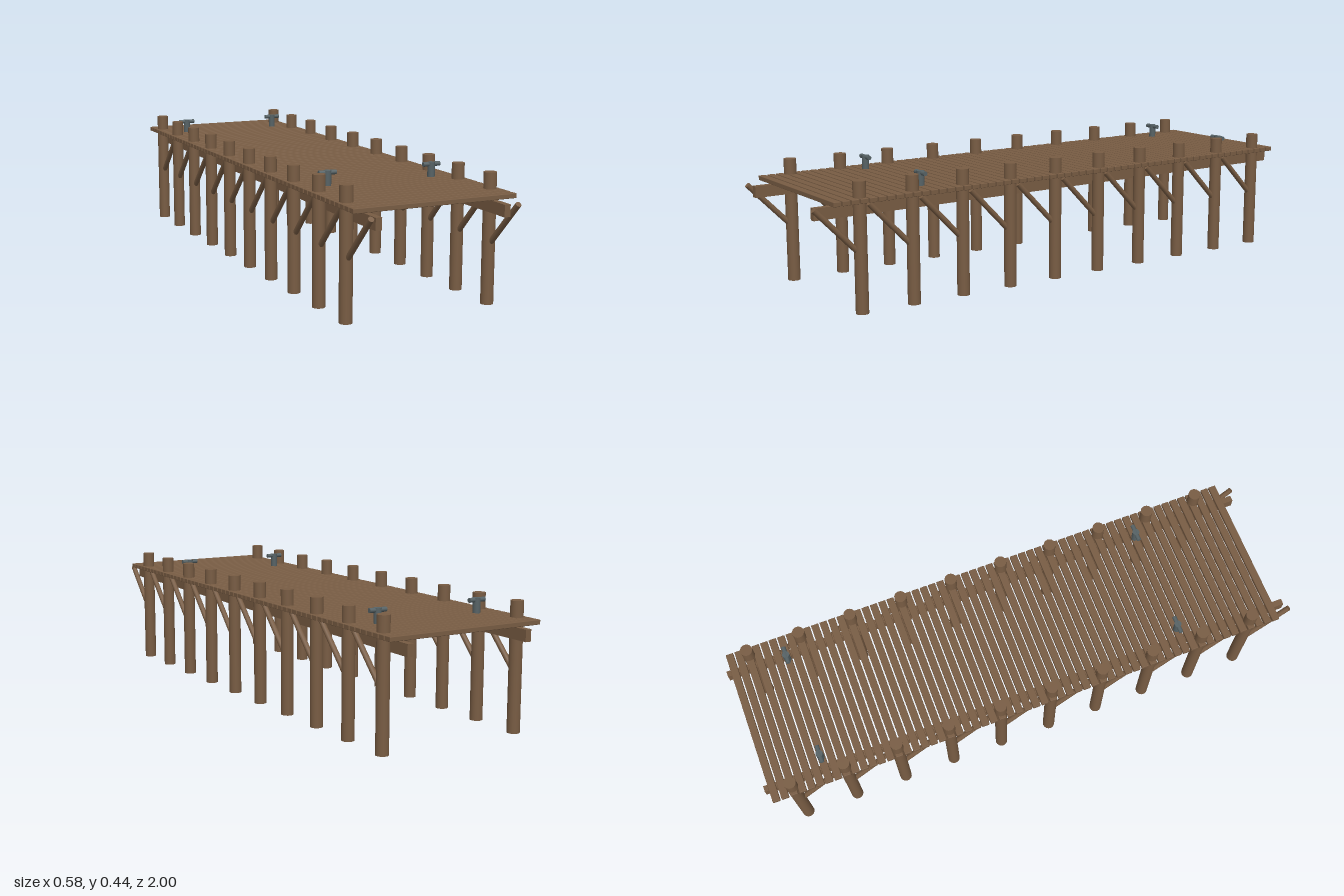
import * as THREE from 'three';
import { RoundedBoxGeometry } from 'three/addons/geometries/RoundedBoxGeometry.js';

const wood = new THREE.MeshStandardMaterial({ color: 0x785c43 });
wood.name = 'weathered wood';
const iron = new THREE.MeshStandardMaterial({ color: 0x566265 });
iron.name = 'iron';

function add(parent, name, geometry, material, x, y, z) {
  const mesh = new THREE.Mesh(geometry, material);
  mesh.name = name;
  mesh.position.set(x, y, z);
  parent.add(mesh);
  return mesh;
}

export function createModel() {
  const pier = new THREE.Group();
  pier.name = 'pier';

  // Deck of cross planks with narrow gaps
  const deck = new THREE.Group();
  deck.name = 'deck';
  pier.add(deck);
  const planks = 60, pitch = 0.0321, backEdge = -0.983;
  const plankGeo = new RoundedBoxGeometry(0.576, 0.016, 0.0268, 1, 0.002);
  for (let i = 0; i < planks; i++) {
    add(deck, 'plank', plankGeo, wood, 0, 0.374, backEdge + 0.0134 + i * pitch);
  }

  // Piles with a diagonal brace rising forward from each
  const pileGeo = new THREE.CylinderGeometry(0.0217, 0.0217, 0.436, 16);
  const foot = new THREE.Vector2(0.002, 0.197); // z offset from pile, height
  const head = new THREE.Vector2(0.161, 0.359);
  const braceGeo = new THREE.CylinderGeometry(0.0098, 0.0098, foot.distanceTo(head), 10);
  const tilt = Math.atan2(head.x - foot.x, head.y - foot.y);
  const beamGeo = new THREE.BoxGeometry(0.0215, 0.04, 1.982);

  for (const side of [-1, 1]) {
    const label = side > 0 ? 'left' : 'right';
    for (let i = 0; i < 10; i++) {
      const z = 0.832 - i * 0.1929;
      add(pier, label + 'Pile', pileGeo, wood, side * 0.2575, 0.218, z);
      const brace = add(pier, label + 'Brace', braceGeo, wood,
        side * 0.2575, (foot.y + head.y) / 2, z + (foot.x + head.x) / 2);
      brace.rotation.x = tilt;
    }

    // Long beam under the deck, inside the piles
    add(pier, label + 'Beam', beamGeo, wood, side * 0.2255, 0.339, -0.009);

    // Mooring cleats
    for (const z of [0.57, -0.778]) {
      const cleat = new THREE.Group();
      cleat.name = label + 'Cleat';
      cleat.position.set(side * 0.194, 0.38, z);
      pier.add(cleat);
      add(cleat, 'cleatStem', new THREE.CylinderGeometry(0.0127, 0.0127, 0.052, 12), iron, 0, 0.026, 0);
      const bar = add(cleat, 'cleatBar', new THREE.CylinderGeometry(0.008, 0.008, 0.063, 10), iron, 0, 0.045, 0);
      bar.rotation.z = Math.PI / 2;
    }
  }
  return pier;
}
